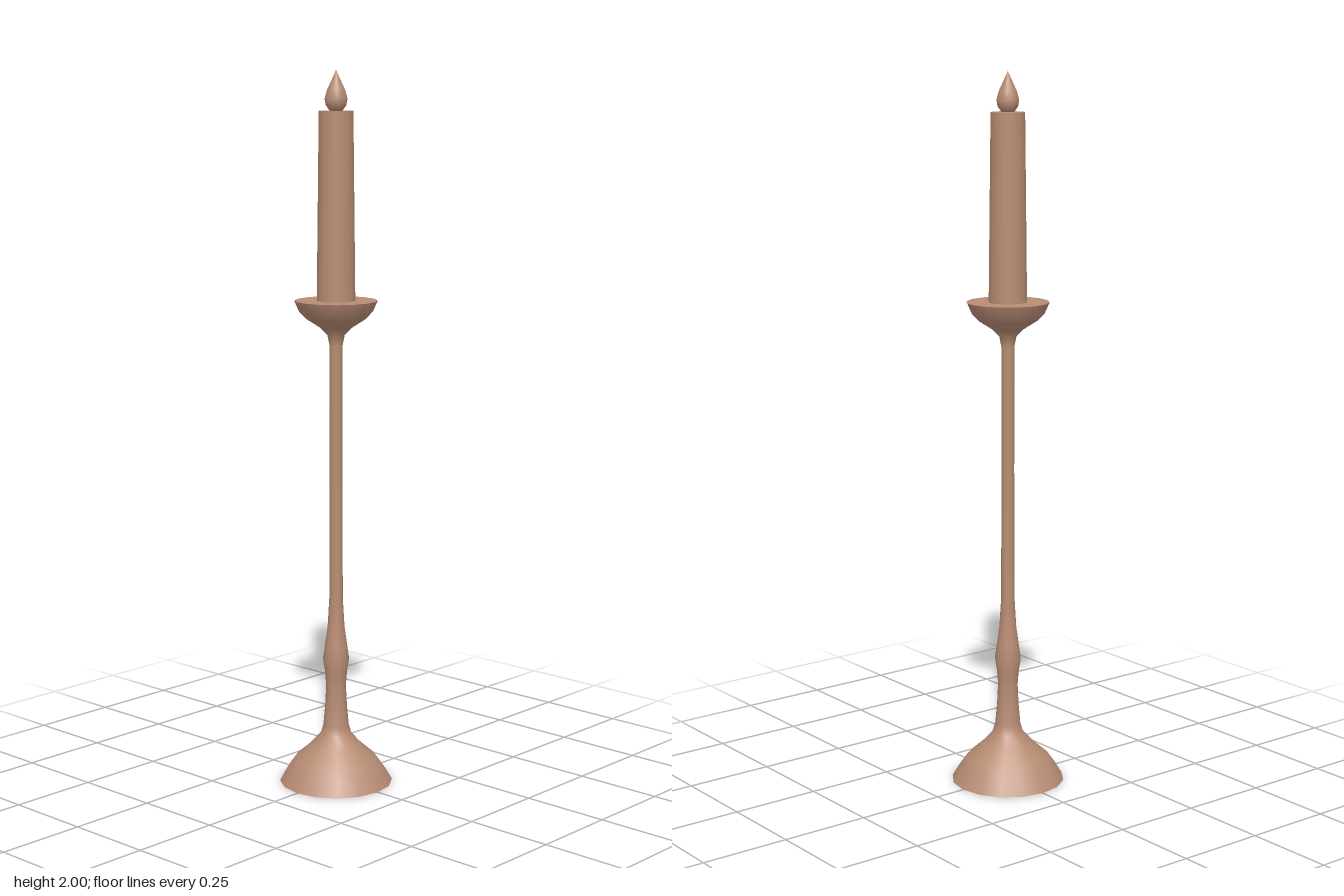
import * as THREE from 'three';

const SIDES = 16;

export function createModel() {
  const model = new THREE.Group();
  model.name = 'candlestick';
  const material = new THREE.MeshStandardMaterial({ color: 0xb88c74 });

  function add(name, geometry) {
    const mesh = new THREE.Mesh(geometry, material);
    mesh.name = name;
    model.add(mesh);
    return mesh;
  }

  // Smooth turned part from [radius, height] pairs, bottom to top
  function turned(name, profile) {
    const points = profile.map(([r, y]) => new THREE.Vector2(r, y));
    return add(name, new THREE.LatheGeometry(points, SIDES));
  }

  // Flat disc facing up or down, keeping the rim sharp
  function disc(name, radius, y, up = true) {
    const mesh = add(name, new THREE.CircleGeometry(radius, SIDES));
    mesh.rotation.x = up ? -Math.PI / 2 : Math.PI / 2;
    mesh.position.y = y;
  }

  // Flared foot, stem with a swelling, and drip dish in one turning
  disc('footUnderside', 0.16, 0, false);
  turned('stand', [
    [0.16, 0], [0.14, 0.034], [0.116, 0.068], [0.074, 0.105], [0.044, 0.138],
    [0.036, 0.165], [0.031, 0.22], [0.028, 0.28], [0.031, 0.32],
    [0.037, 0.358], [0.031, 0.4], [0.024, 0.45], [0.019, 0.535],
    [0.018, 0.9], [0.018, 1.25], [0.024, 1.28], [0.044, 1.3],
    [0.083, 1.325], [0.102, 1.345], [0.115, 1.375],
  ]);
  disc('dishTop', 0.115, 1.375);

  // Slightly tapered candle
  turned('candle', [[0.053, 1.375], [0.047, 1.89]]);
  disc('candleTop', 0.047, 1.89);

  // Teardrop flame
  turned('flame', [
    [0, 1.886], [0.018, 1.891], [0.028, 1.905], [0.031, 1.922],
    [0.025, 1.945], [0.013, 1.971], [0.005, 1.988], [0, 2],
  ]);

  return model;
}
